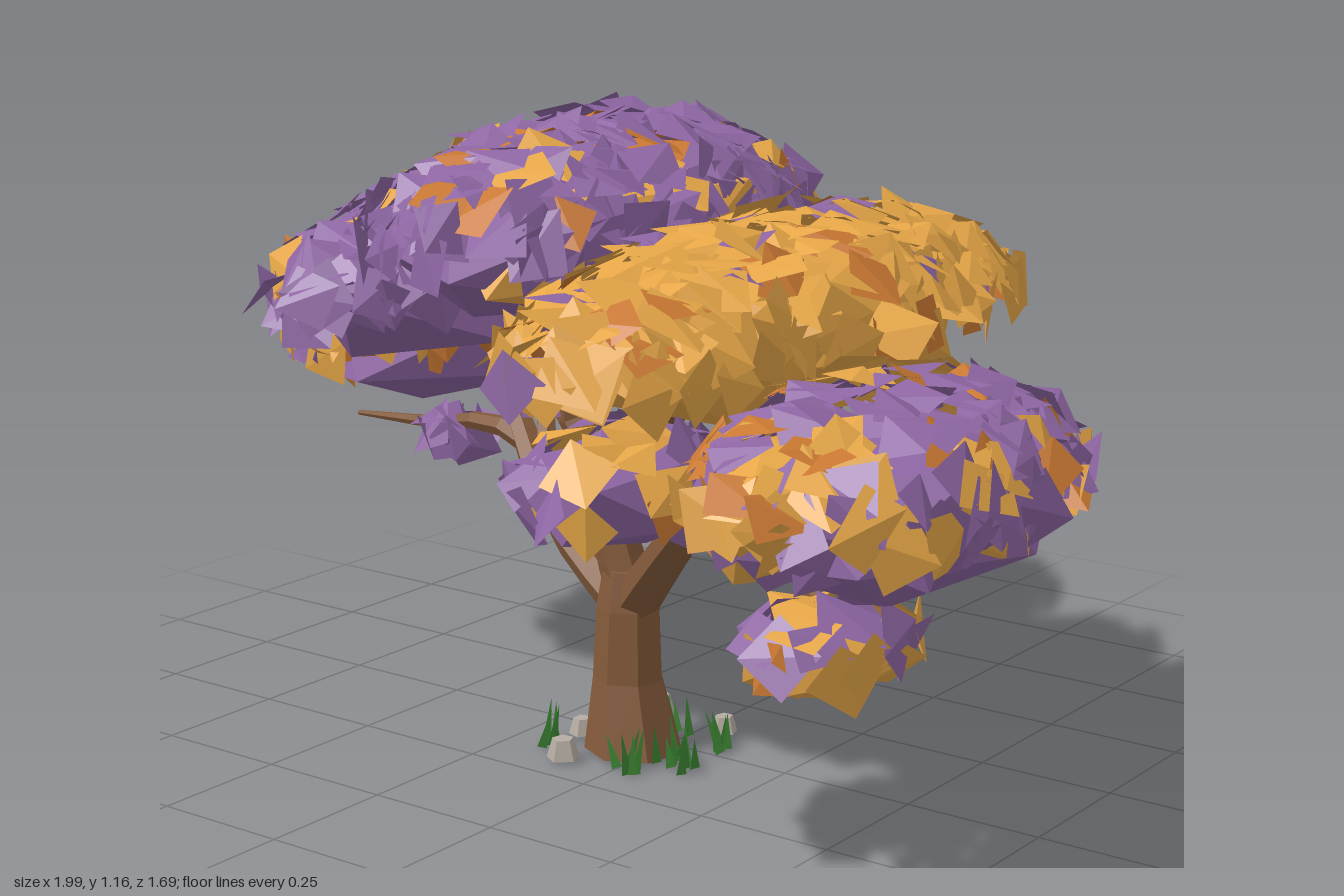
import * as THREE from 'three';
import { mergeGeometries } from 'three/addons/utils/BufferGeometryUtils.js';

const COLORS = { purple: 0x8e66a3, gold: 0xe6a647, orange: 0xc97832, bark: 0x83593a, grass: 0x3f8a35, stone: 0xb5aca2 };
const mats = {};
for (const [name, color] of Object.entries(COLORS)) {
  mats[name] = new THREE.MeshStandardMaterial({ color, flatShading: true, side: THREE.DoubleSide });
}

// Small seeded generator
let seed = 11;
function rnd(a = 0, b = 1) {
  seed = (seed * 1664525 + 1013904223) % 4294967296;
  return a + (b - a) * (seed / 4294967296);
}

function add(group, name, geometry, mat) {
  const mesh = new THREE.Mesh(geometry, mats[mat]);
  mesh.name = name;
  group.add(mesh);
}

// Tapered limb along a curve: every tube ring is scaled about its centre
function limb(points, r0, r1, sides = 6) {
  const curve = new THREE.CatmullRomCurve3(points.map((p) => new THREE.Vector3(...p)), false, 'centripetal');
  const n = (points.length - 1) * 2;
  const geo = new THREE.TubeGeometry(curve, n, 1, sides, false);
  const pos = geo.attributes.position;
  const v = new THREE.Vector3();
  for (let i = 0; i <= n; i++) {
    const c = curve.getPointAt(i / n);
    for (let j = 0; j <= sides; j++) {
      const k = i * (sides + 1) + j;
      v.fromBufferAttribute(pos, k).sub(c).multiplyScalar(r0 + (r1 - r0) * (i / n)).add(c);
      pos.setXYZ(k, v.x, v.y, v.z);
    }
  }
  return geo;
}

// Coarse faceted lump with one long diagonal along z
function lump([x, y, z], [rx, ry, rz]) {
  return new THREE.IcosahedronGeometry(1.08, 0).rotateX(rnd(0.8, 1.3)).rotateZ(rnd(0, 3))
    .scale(rx, ry, rz).translate(x, y, z);
}

// Square, slightly folded leaves on the upper part of an ellipsoid, looser towards the rim
function leafShell(group, name, c, r, count, mix, low = -0.12) {
  const sets = { purple: [], gold: [], orange: [] };
  const zAxis = new THREE.Vector3(0, 0, 1);
  for (let i = 0; i < count; i++) {
    const uy = low + (1 - low) * ((i + 0.5) / count);
    const a = i * 2.39996 + rnd(-0.4, 0.4);
    const s = Math.sqrt(1 - uy * uy);
    const u = new THREE.Vector3(Math.cos(a) * s, uy, Math.sin(a) * s);
    const rim = Math.max(0, 1 - Math.abs(uy) * 2.2);
    const k = rnd(0.91, 1.0) + rim * rnd(-0.04, 0.09);
    const normal = new THREE.Vector3(u.x / r[0], u.y / r[1], u.z / r[2]).normalize();
    const w = 0.4 + rim * 0.35;
    normal.add(new THREE.Vector3(rnd(-w, w), rnd(-0.2, 0.5), rnd(-w, w))).normalize();
    const leaf = new THREE.PlaneGeometry(rnd(0.06, 0.095), rnd(0.065, 0.105));
    const p = leaf.attributes.position;
    p.setZ(0, rnd(-0.025, 0));
    p.setZ(3, rnd(-0.025, 0));
    leaf.rotateZ(rnd(0, 6.28));
    leaf.applyQuaternion(new THREE.Quaternion().setFromUnitVectors(zAxis, normal));
    leaf.translate(c[0] + u.x * r[0] * k, c[1] + u.y * r[1] * k, c[2] + u.z * r[2] * k);
    const t = rnd();
    sets[t < mix[0] ? 'purple' : t < mix[0] + mix[1] ? 'gold' : 'orange'].push(leaf);
  }
  for (const [color, list] of Object.entries(sets)) {
    if (list.length) add(group, `${name} ${color} leaves`, mergeGeometries(list), color);
  }
}

function createTrunk() {
  const g = new THREE.Group();
  g.name = 'trunk and branches';
  // Trunk: stacked rings, flared at the foot
  const trunk = new THREE.CylinderGeometry(1, 1, 1, 7, 3).translate(0, 0.5, 0);
  const rings = [[0.01, 0.09, -0.032, 0.06], [0.14, 0.064, -0.045, 0.06], [0.27, 0.058, -0.045, 0.058], [0.34, 0.048, -0.045, 0.055]];
  const p = trunk.attributes.position;
  for (let i = 0; i < p.count; i++) {
    const [y, r, x, z] = rings[Math.round(p.getY(i) * 3)];
    p.setXYZ(i, x + p.getX(i) * r, y, z + p.getZ(i) * r);
  }
  add(g, 'trunk', trunk, 'bark');

  const branches = {
    'right main branch': [[[-0.05, 0.26, 0.05], [-0.24, 0.35, -0.02], [-0.42, 0.5, -0.11], [-0.52, 0.6, -0.2], [-0.58, 0.72, -0.3]], 0.04, 0.016],
    'right long twig': [[[-0.39, 0.48, -0.1], [-0.5, 0.505, -0.12], [-0.65, 0.48, -0.14], [-0.89, 0.46, -0.17]], 0.024, 0.005],
    'centre branch': [[[-0.045, 0.3, 0.055], [-0.08, 0.42, 0.06], [-0.07, 0.52, 0.06]], 0.046, 0.034],
    'centre right fork': [[[-0.07, 0.49, 0.06], [-0.16, 0.6, 0.07], [-0.15, 0.72, 0.08], [-0.13, 0.87, 0.1]], 0.033, 0.016],
    'right side branch': [[[-0.15, 0.59, 0.07], [-0.26, 0.63, 0.02], [-0.4, 0.68, -0.06], [-0.46, 0.76, -0.1]], 0.025, 0.012],
    'centre left fork': [[[-0.07, 0.49, 0.06], [0.03, 0.61, 0.04], [0.02, 0.74, 0.04], [0.0, 0.88, 0.04]], 0.03, 0.014],
    'left side branch': [[[0.03, 0.6, 0.04], [0.08, 0.68, 0.08], [0.1, 0.77, 0.13], [0.24, 0.85, 0.2]], 0.021, 0.01],
    'cross twig': [[[-0.14, 0.77, 0.09], [-0.03, 0.79, 0.06], [0.07, 0.78, 0.1]], 0.012, 0.01],
    'left main branch': [[[-0.03, 0.28, 0.06], [0.07, 0.38, 0.12], [0.2, 0.49, 0.2], [0.4, 0.53, 0.3], [0.58, 0.62, 0.38]], 0.042, 0.016],
    'left drooping twig': [[[0.36, 0.525, 0.28], [0.5, 0.52, 0.38], [0.64, 0.49, 0.48], [0.74, 0.43, 0.56]], 0.022, 0.006],
    'back branch': [[[-0.32, 0.43, -0.06], [-0.42, 0.55, -0.18], [-0.48, 0.64, -0.3]], 0.024, 0.01],
  };
  for (const [name, [pts, r0, r1]] of Object.entries(branches)) add(g, name, limb(pts, r0, r1), 'bark');
  return g;
}

function createCanopy() {
  const g = new THREE.Group();
  g.name = 'canopy';
  // Cores: colour, centre, radii
  const cores = [
    ['top core', 'purple', [-0.08, 0.96, 0.24], [0.23, 0.14, 0.32]],
    ['top core', 'gold', [0.0, 0.95, 0.12], [0.2, 0.13, 0.4]],
    ['top core', 'orange', [-0.08, 0.96, -0.08], [0.18, 0.13, 0.26]],
    ['right core', 'purple', [-0.42, 0.82, 0.03], [0.23, 0.14, 0.4]],
    ['right core', 'gold', [-0.37, 0.82, -0.2], [0.2, 0.13, 0.42]],
    ['right core', 'purple', [-0.45, 0.81, -0.4], [0.21, 0.13, 0.34]],
    ['far right core', 'purple', [-0.67, 0.65, -0.26], [0.24, 0.12, 0.44]],
    ['far right core', 'orange', [-0.75, 0.68, -0.28], [0.18, 0.12, 0.36]],
    ['left core', 'gold', [0.36, 0.85, 0.22], [0.23, 0.14, 0.48]],
    ['far left core', 'purple', [0.73, 0.66, 0.43], [0.21, 0.13, 0.32]],
    ['far left core', 'gold', [0.63, 0.66, 0.48], [0.17, 0.11, 0.27]],
    ['low left core', 'purple', [0.28, 0.63, 0.5], [0.14, 0.09, 0.19]],
    ['hanging core', 'gold', [0.69, 0.45, 0.54], [0.1, 0.06, 0.14]],
  ];
  for (const [name, color, c, r] of cores) add(g, name, lump(c, r), color);

  // Leaves: name, centre, radii, count, purple and gold share, lower limit
  const shells = [
    ['top', [-0.07, 0.97, 0.11], [0.26, 0.18, 0.5], 260, [0.85, 0.08]],
    ['right', [-0.42, 0.84, -0.16], [0.27, 0.18, 0.64], 300, [0.84, 0.1]],
    ['far right', [-0.7, 0.7, -0.3], [0.27, 0.18, 0.48], 240, [0.26, 0.38], -0.35],
    ['left', [0.36, 0.86, 0.21], [0.25, 0.17, 0.62], 280, [0.05, 0.88]],
    ['far left', [0.72, 0.7, 0.43], [0.25, 0.16, 0.37], 190, [0.58, 0.3], -0.4],
    ['low left', [0.28, 0.64, 0.5], [0.15, 0.1, 0.21], 36, [0.75, 0.2], -0.5],
    ['hanging', [0.69, 0.47, 0.54], [0.12, 0.065, 0.15], 24, [0.55, 0.4], -0.6],
    ['right hanging', [-0.62, 0.465, -0.15], [0.07, 0.04, 0.06], 10, [1, 0], -0.6],
  ];
  for (const s of shells) leafShell(g, ...s);
  return g;
}

function createGround() {
  const g = new THREE.Group();
  g.name = 'grass and stones';
  // Grass tufts: leaning three-sided blades
  const tufts = [[0.02, 0.17], [0.1, 0.1], [0.08, -0.03], [-0.15, 0.14], [-0.02, -0.05], [0.05, 0.07]];
  for (const [x, z] of tufts) {
    const blades = [];
    for (let i = 0; i < 5; i++) {
      const h = rnd(0.05, 0.085);
      blades.push(new THREE.ConeGeometry(0.011, h, 3).translate(0, h / 2, 0)
        .rotateZ(rnd(-0.3, 0.3)).rotateX(rnd(-0.3, 0.3))
        .translate(x + rnd(-0.025, 0.025), 0.008, z + rnd(-0.025, 0.025)));
    }
    add(g, 'grass tuft', mergeGeometries(blades), 'grass');
  }
  // Stones: low tapered blocks
  const stones = [[-0.1, -0.1, 0.035], [-0.15, 0.06, 0.025], [-0.1, 0.18, 0.03], [0.05, -0.1, 0.025]];
  for (const [x, z, r] of stones) {
    add(g, 'stone', new THREE.CylinderGeometry(r * 0.65, r, r * 1.2, 5).rotateY(rnd(0, 6)).translate(x, 0.01 + r * 0.6, z), 'stone');
  }
  return g;
}

export function createModel() {
  seed = 11;
  const model = new THREE.Group();
  model.name = 'tree';
  model.add(createTrunk(), createCanopy(), createGround());
  return model;
}
